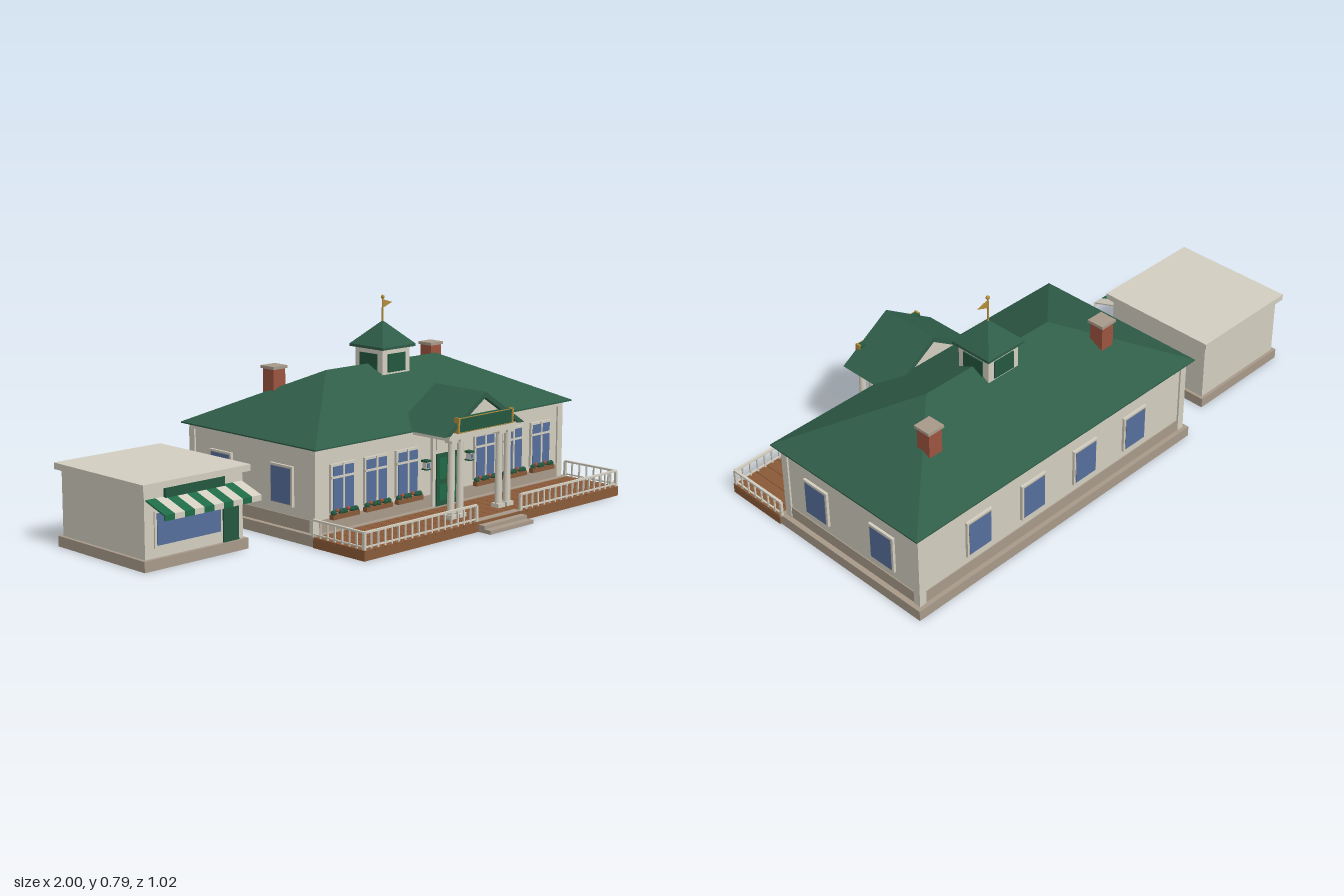
import * as THREE from 'three';

const mat = (name, color, extra = {}) => Object.assign(new THREE.MeshStandardMaterial({ color, ...extra }), { name });

export function createModel() {
  const M = {
    cream: mat('cream paint', 0xd3cec0),
    stone: mat('taupe stone', 0xa89a8a),
    roof: mat('roof green', 0x2f5d48, { flatShading: true }),
    green: mat('door green', 0x23573f),
    awning: mat('awning green', 0x1f6b47),
    glass: mat('window blue', 0x566f9c),
    brick: mat('chimney brick', 0x9c5440),
    wood: mat('deck wood', 0x8a5a38),
    gold: mat('gold', 0xb58d3d, { side: THREE.DoubleSide }),
  };
  const root = new THREE.Group();
  root.name = 'stationHouse';
  const CX = 0.31; // centre line of the main house

  const add = (name, geo, m, parent = root, x = 0, y = 0, z = 0) => {
    const mesh = new THREE.Mesh(geo, m);
    mesh.name = name;
    mesh.position.set(x, y, z);
    parent.add(mesh);
    return mesh;
  };
  const group = (name, x = 0, y = 0, z = 0, turn = 0, parent = root) => {
    const g = new THREE.Group();
    g.name = name;
    g.position.set(x, y, z);
    g.rotation.y = turn;
    parent.add(g);
    return g;
  };
  // box given by its limits
  const box = (name, m, x0, x1, y0, y1, z0, z1, parent = root) =>
    add(name, new THREE.BoxGeometry(x1 - x0, y1 - y0, z1 - z0), m, parent, (x0 + x1) / 2, (y0 + y1) / 2, (z0 + z1) / 2);

  // hipped roof on a rectangle, with a short fascia; ridge is the half ridge length
  const hipRoof = (hx, hz, h, ridge, fascia) => {
    const c = (y) => [[-hx, y, hz], [hx, y, hz], [hx, y, -hz], [-hx, y, -hz]];
    const b = c(0), t = c(fascia), l = [-ridge, h, 0], r = [ridge, h, 0];
    const tri = [];
    const quad = (a, d, e, f) => tri.push(a, d, e, a, e, f);
    for (let i = 0; i < 4; i++) quad(b[i], b[(i + 1) % 4], t[(i + 1) % 4], t[i]);
    quad(b[3], b[2], b[1], b[0]);
    quad(t[0], t[1], r, l);
    quad(t[2], t[3], l, r);
    tri.push(t[1], t[2], r, t[3], t[0], l);
    const g = new THREE.BufferGeometry();
    g.setAttribute('position', new THREE.Float32BufferAttribute(tri.flat(), 3));
    g.computeVertexNormals();
    return g;
  };
  // polygon in x and y, extruded from z0 to z1
  const prism = (pts, z0, z1) =>
    new THREE.ExtrudeGeometry(new THREE.Shape(pts.map((p) => new THREE.Vector2(...p))), { depth: z1 - z0, bevelEnabled: false }).translate(0, 0, z0);

  // ---- main house ----
  const house = group('house');
  const X0 = -0.357, X1 = 0.977, Z0 = -0.487, Z1 = 0.187;
  box('foundation', M.stone, -0.375, 0.995, 0, 0.04, -0.503, 0.205, house);
  box('walls', M.cream, X0 + 0.006, X1 - 0.006, 0.04, 0.342, Z0 + 0.006, Z1 - 0.006, house);
  box('wainscot', M.stone, X0 + 0.002, X1 - 0.002, 0.04, 0.085, Z0 + 0.002, Z1 - 0.002, house);
  box('frieze', M.cream, X0, X1, 0.322, 0.342, Z0, Z1, house);
  for (const x of [X0, X1 - 0.027]) for (const z of [Z0, Z1 - 0.027])
    box('cornerPost', M.cream, x - 0.001, x + 0.028, 0.04, 0.324, z - 0.001, z + 0.028, house);
  add('mainRoof', hipRoof(0.69, 0.361, 0.194, 0.295, 0.005), M.roof, house, CX, 0.341, -0.147);

  // ---- windows; each faces its own +z ----
  const makeWindow = (x, z, turn, front) => {
    const g = group(front ? 'frontWindow' : 'window', x, 0.19, z, turn, house);
    const w = 0.059, h = front ? 0.087 : 0.073;
    box('windowFrame', M.cream, -w, w, -h, h, 0, 0.01, g);
    if (!front) box('innerFrame', M.stone, -w + 0.007, w - 0.007, -h + 0.007, h - 0.007, 0.01, 0.011, g);
    box('windowGlass', M.glass, -w + 0.009, w - 0.009, -h + 0.009, h - 0.009, 0.009, 0.012, g);
    if (!front) return;
    box('mullion', M.cream, -0.004, 0.004, -h, h, 0.01, 0.015, g);
    box('transomBar', M.cream, -w, w, 0.036, 0.044, 0.01, 0.015, g);
    // flower box with leaves and blossoms
    box('flowerBox', M.wood, -0.065, 0.065, -0.107, -0.09, 0.008, 0.028, g);
    for (let i = 0; i < 7; i++) {
      const bloom = i % 3 === 1;
      add(bloom ? 'blossom' : 'leaves', new THREE.IcosahedronGeometry(bloom ? 0.008 : 0.011, 1), bloom ? M.brick : M.green, g, (i - 3) * 0.018, bloom ? -0.078 : -0.085, 0.018);
    }
  };
  for (const s of [-1, 1]) {
    for (const d of [0.21, 0.37, 0.535]) makeWindow(CX + s * d, Z1 - 0.006, 0, true);
    for (const d of [0.13, 0.39]) makeWindow(CX + s * d, Z0 + 0.006, Math.PI, false);
    for (const z of [0.016, -0.31]) makeWindow(s > 0 ? X1 - 0.006 : X0 + 0.006, z, s * Math.PI / 2, false);
  }

  // ---- entrance ----
  const door = group('entrance', CX, 0, Z1 - 0.006);
  box('doorSurround', M.cream, -0.08, 0.08, 0.04, 0.32, 0, 0.012, door);
  box('transomPanel', M.cream, -0.064, 0.064, 0.25, 0.308, 0.012, 0.016, door);
  for (const s of [-1, 1]) {
    const leaf = (name, m, a, b, y0, y1, z0, z1) => box(name, m, Math.min(s * a, s * b), Math.max(s * a, s * b), y0, y1, z0, z1, door);
    leaf('doorLeaf', M.green, 0.002, 0.064, 0.04, 0.236, 0.01, 0.018);
    leaf('doorPanel', M.awning, 0.014, 0.052, 0.14, 0.22, 0.018, 0.02);
    leaf('doorPanel', M.awning, 0.014, 0.052, 0.06, 0.12, 0.018, 0.02);
    leaf('doorHandle', M.gold, 0.005, 0.009, 0.11, 0.16, 0.018, 0.024);
    leaf('lampBody', M.cream, 0.108, 0.126, 0.19, 0.216, 0.004, 0.024);
    leaf('lampGlass', M.glass, 0.111, 0.123, 0.194, 0.212, 0.024, 0.026);
    leaf('lampTop', M.green, 0.104, 0.13, 0.216, 0.223, 0, 0.028);
    leaf('lampFoot', M.green, 0.106, 0.128, 0.186, 0.191, 0, 0.026);
  }

  // ---- deck, steps and railing ----
  const deck = group('deck');
  box('deckBase', M.wood, -0.38, 1, 0, 0.031, 0.2, 0.452, deck);
  const planks = 28, pw = 1.38 / planks;
  for (let i = 0; i < planks; i++)
    box('plank', M.wood, -0.38 + i * pw + 0.001, -0.38 + (i + 1) * pw - 0.001, 0.03, 0.037, 0.204, 0.454, deck);
  for (let i = 0; i < 3; i++)
    box('step', M.stone, 0.193, 0.427, 0, 0.014 + i * 0.0125, 0.42, 0.51 - i * 0.03, deck);

  const railing = (x0, z0, x1, z1) => {
    const len = Math.hypot(x1 - x0, z1 - z0), n = Math.round(len / 0.034);
    const g = group('railing', x0, 0, z0, Math.atan2(-(z1 - z0), x1 - x0));
    box('topRail', M.cream, 0, len, 0.094, 0.101, -0.005, 0.005, g);
    box('bottomRail', M.cream, 0, len, 0.044, 0.049, -0.003, 0.003, g);
    for (let i = 0; i <= n; i++) {
      const r = i % n ? 0.0028 : 0.005, x = i * len / n;
      box(i % n ? 'baluster' : 'railPost', M.cream, x - r, x + r, 0.037, 0.096, -r, r, g);
    }
  };
  railing(-0.373, 0.445, 0.19, 0.445);
  railing(0.43, 0.445, 0.993, 0.445);
  railing(-0.373, 0.445, -0.373, 0.195);
  railing(0.993, 0.445, 0.993, 0.195);

  // ---- portico ----
  const portico = group('portico', CX);
  for (const x of [-0.152, -0.105, 0.105, 0.152]) {
    add('column', new THREE.CylinderGeometry(0.012, 0.014, 0.275, 16), M.cream, portico, x, 0.188, 0.35);
    box('columnBase', M.cream, x - 0.018, x + 0.018, 0.037, 0.052, 0.332, 0.368, portico);
    box('columnCapital', M.cream, x - 0.017, x + 0.017, 0.315, 0.328, 0.333, 0.367, portico);
  }
  box('entablature', M.cream, -0.18, 0.18, 0.325, 0.348, 0.18, 0.367, portico);
  add('pediment', prism([[-0.185, 0.347], [0.185, 0.347], [0, 0.464]], 0.15, 0.355), M.cream, portico);
  add('porticoRoof', prism([[-0.216, 0.345], [-0.185, 0.345], [0, 0.463], [0.185, 0.345], [0.216, 0.345], [0, 0.484]], 0.127, 0.375), M.roof, portico);
  box('signBoard', M.green, -0.145, 0.145, 0.35, 0.405, 0.355, 0.378, portico);
  for (const s of [-1, 1])
    box('signEnd', M.gold, s * 0.145 - 0.004, s * 0.145 + 0.004, 0.35, 0.407, 0.358, 0.381, portico);
  for (const y of [0.352, 0.404]) box('signTrim', M.gold, -0.145, 0.145, y - 0.0012, y + 0.0012, 0.376, 0.38, portico);

  // ---- cupola ----
  const cupola = group('cupola', CX, 0, -0.147);
  box('cupolaBody', M.cream, -0.072, 0.072, 0.48, 0.597, -0.072, 0.072, cupola);
  for (let i = 0; i < 4; i++) {
    const side = group('louver', 0, 0, 0, i * Math.PI / 2, cupola);
    box('louverPanel', M.green, -0.046, 0.046, 0.505, 0.574, 0.07, 0.077, side);
  }
  add('cupolaRoof', hipRoof(0.088, 0.088, 0.098, 0, 0.01), M.roof, cupola, 0, 0.593, 0);
  add('flagPole', new THREE.CylinderGeometry(0.003, 0.004, 0.1, 8), M.gold, cupola, 0, 0.732, 0);
  add('finialBall', new THREE.SphereGeometry(0.0075, 12, 8), M.gold, cupola, 0, 0.78, 0);
  add('pennant', prism([[0.002, 0.739], [0.05, 0.756], [0.002, 0.77]], -0.0015, 0.0015), M.gold, cupola);

  // ---- chimneys ----
  for (const s of [-1, 1]) {
    const c = group('chimney', CX + s * 0.421, 0, -0.292);
    box('chimneyStack', M.brick, -0.029, 0.029, 0.4, 0.541, -0.029, 0.029, c);
    box('chimneyCap', M.stone, -0.035, 0.035, 0.54, 0.551, -0.035, 0.035, c);
  }

  // ---- kiosk ----
  const kiosk = group('kiosk');
  box('kioskBase', M.stone, -0.995, -0.543, 0, 0.038, -0.43, 0.05, kiosk);
  box('kioskWalls', M.cream, -0.982, -0.556, 0.038, 0.278, -0.418, 0.036, kiosk);
  box('kioskRoof', M.cream, -1, -0.535, 0.274, 0.297, -0.437, 0.056, kiosk);
  box('kioskSign', M.green, -0.9, -0.642, 0.235, 0.274, 0.034, 0.046, kiosk);
  box('kioskWindowFrame', M.cream, -0.943, -0.652, 0.07, 0.198, 0.034, 0.041, kiosk);
  box('kioskGlass', M.glass, -0.934, -0.66, 0.08, 0.19, 0.04, 0.043, kiosk);
  box('kioskDoor', M.green, -0.646, -0.578, 0.038, 0.2, 0.034, 0.042, kiosk);
  // striped awning with a short valance; section drawn in z and y
  const section = [[0.034, 0.236], [0.034, 0.241], [0.136, 0.207], [0.136, 0.187], [0.132, 0.187], [0.132, 0.203]];
  for (let i = 0; i < 10; i++) {
    const geo = prism(section, 0, 0.0417).rotateY(-Math.PI / 2);
    add('awningStripe', geo, i % 2 ? M.cream : M.awning, kiosk, -0.975 + (i + 1) * 0.0417, 0, 0);
  }
  return root;
}
